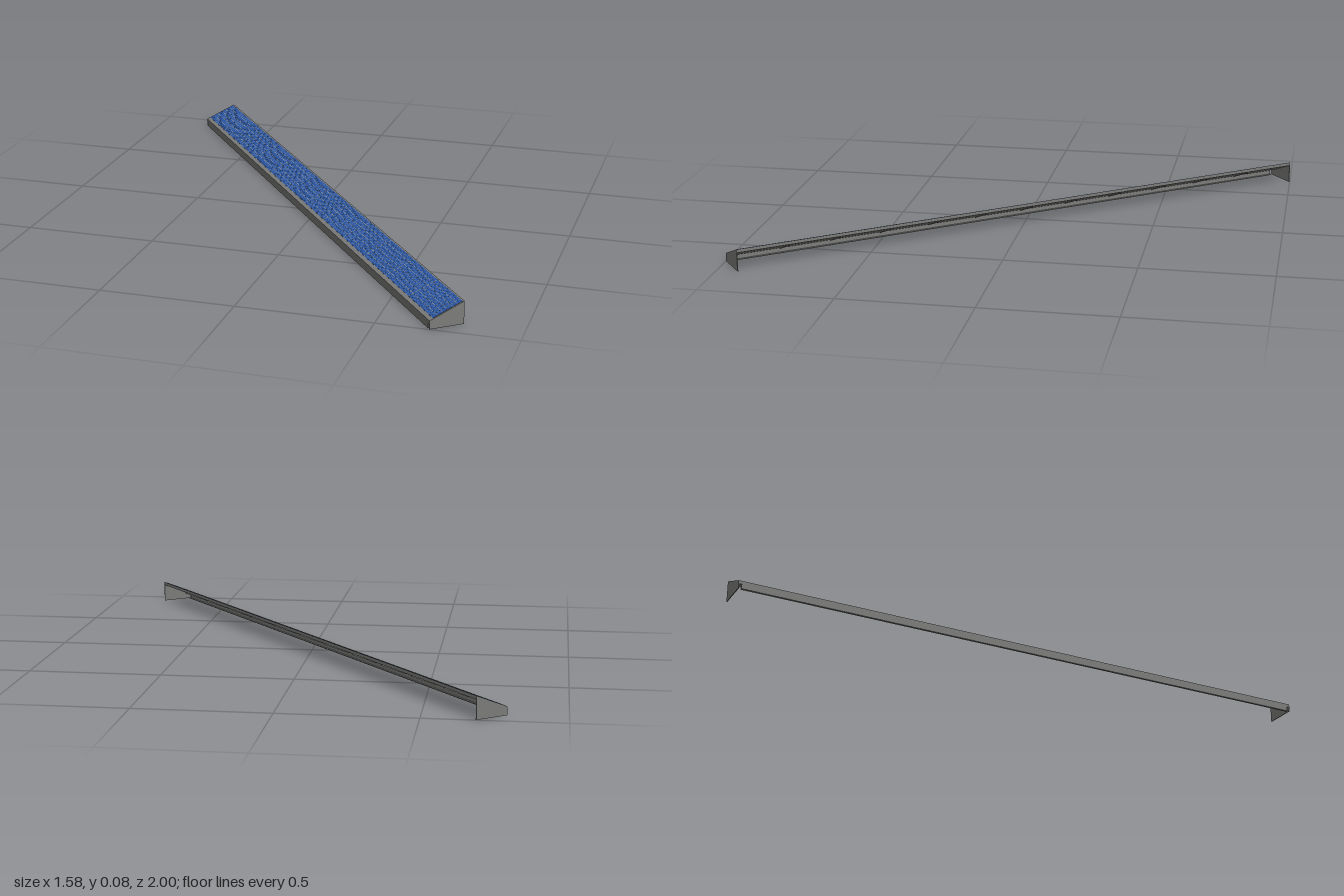
import * as THREE from 'three';
import { mergeGeometries } from 'three/addons/utils/BufferGeometryUtils.js';

const mat = (name, color) => {
  const m = new THREE.MeshStandardMaterial({ color });
  m.name = name;
  return m;
};

export function createModel() {
  const grey = mat('frame grey', 0x7c7c7a);
  const blue = mat('cell blue', 0x2a57a8);
  const tan = mat('grid line tan', 0xaaa594);

  const L = 2.424, W = 0.128, LOW = 0.031, HIGH = 0.084, T = 0.013;
  const hw = W / 2, slope = Math.atan2(HIGH - LOW, W);
  const group = new THREE.Group();
  group.name = 'solarPanelRow';

  // local x runs along the row, local +z is the low edge
  const row = new THREE.Group();
  row.name = 'row';
  row.rotation.y = -0.914;
  group.add(row);

  const add = (parent, name, geo, material) => {
    const mesh = new THREE.Mesh(geo, material);
    mesh.name = name;
    parent.add(mesh);
    return mesh;
  };
  const box = (w, h, d, x, y, z) => new THREE.BoxGeometry(w, h, d).translate(x, y, z);
  // cross-section given as [-z, y], extruded along the row
  const profile = (pts, length, x) =>
    new THREE.ExtrudeGeometry(new THREE.Shape(pts.map(p => new THREE.Vector2(...p))),
      { depth: length, bevelEnabled: false }).rotateY(Math.PI / 2).translate(x, 0, 0);

  // tilted tray carrying the panels
  add(row, 'tray', profile([[-hw, LOW - T], [hw, HIGH - T], [hw, HIGH], [-hw, LOW]], L, -L / 2), grey);

  // low front wall with a small foot, stopping just short of the ends
  add(row, 'frontWall', box(L - 0.024, 0.026, 0.003, 0, 0.013, hw - 0.0015), grey);
  add(row, 'frontFoot', box(L - 0.024, 0.003, 0.01, 0, 0.0015, hw - 0.005), grey);

  // end walls; the back and the bottom stay open
  for (const x of [-L / 2, L / 2 - 0.003])
    add(row, 'endWall', profile([[-hw, 0], [hw, 0], [hw, HIGH - 0.002], [-hw, LOW - 0.002]], 0.003, x), grey);

  // everything lying on the slope
  const top = new THREE.Group();
  top.name = 'panelSurface';
  top.position.y = (LOW + HIGH) / 2;
  top.rotation.x = slope;
  row.add(top);

  const N = 12, COLS = 10, ROWS = 6;
  const pitch = (L - 0.008) / N, span = W / Math.cos(slope) - 0.021, zc = -0.005;
  const cells = [], lines = [], joints = [], ribs = [];
  for (let i = 0; i < N; i++) {
    const x0 = -L / 2 + 0.004 + i * pitch;
    cells.push(box(pitch - 0.002, 0.001, span, x0 + pitch / 2, 0.0004, zc));
    for (let c = 1; c < COLS; c++)
      lines.push(box(0.001, 0.0004, span, x0 + pitch * c / COLS, 0.001, zc));
    for (let r = 1; r < ROWS; r++)
      lines.push(box(pitch - 0.002, 0.0004, 0.0012, x0 + pitch / 2, 0.001, zc - span / 2 + span * r / ROWS));
    if (i > 0) {
      joints.push(box(0.0025, 0.0012, span, x0, 0.0006, zc));
      ribs.push(box(0.004, 0.004, span, x0, -T - 0.001, zc + 0.005));
    }
  }
  add(top, 'solarCells', mergeGeometries(cells), blue);
  add(top, 'cellGridLines', mergeGeometries(lines), tan);
  add(top, 'panelJoints', mergeGeometries(joints), tan);
  add(top, 'undersideRibs', mergeGeometries(ribs), grey);

  return group;
}
